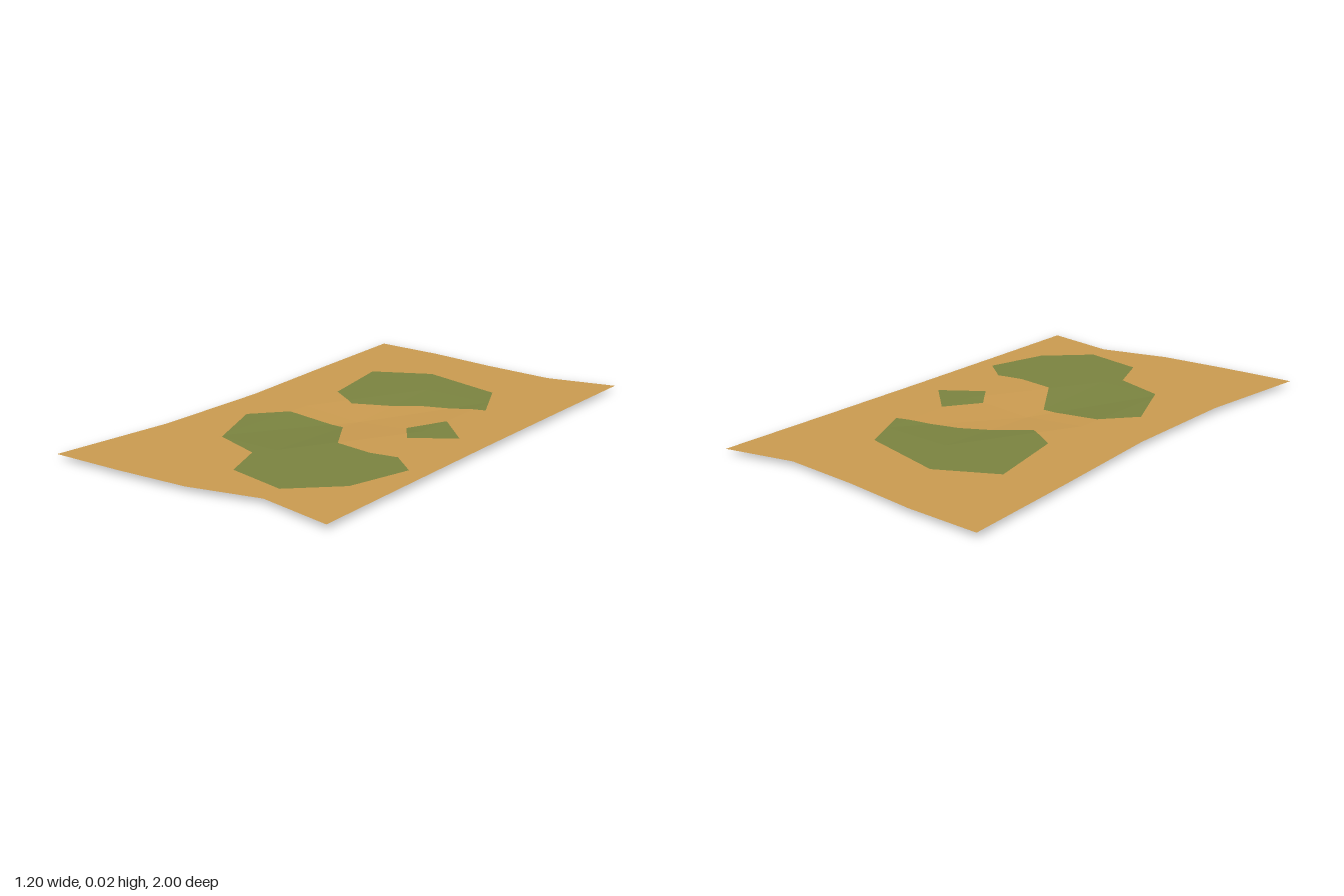
import * as THREE from 'three';

const SAND = new THREE.MeshStandardMaterial({ color: 0xc8994f, side: THREE.DoubleSide, flatShading: true });
SAND.name = 'sandy cloth';
const GREEN = new THREE.MeshStandardMaterial({ color: 0x79823f, side: THREE.DoubleSide, flatShading: true });
GREEN.name = 'olive green';

const REST = 0.021; // height of the flat cloth; only the middle sags to the ground
const LIFT = 0.0012;

// Five rows of [x, z] knots, back to front, with wavy outer edges
const KNOTS = [
  [[-0.6, -1], [-0.3, -0.99], [0, -0.955], [0.31, -0.935], [0.595, -1]],
  [[-0.57, -0.5], [-0.29, -0.5], [0, -0.48], [0.3, -0.47], [0.59, -0.5]],
  [[-0.535, 0], [-0.26, 0], [0, 0], [0.3, 0], [0.587, 0]],
  [[-0.54, 0.5], [-0.28, 0.5], [0, 0.5], [0.29, 0.46], [0.588, 0.5]],
  [[-0.6, 1], [-0.3, 0.99], [0, 0.97], [0.285, 0.9], [0.59, 0.955]],
];

// Outlines of the painted patches as [x, z]
const PATCHES = {
  backPatch: [[-0.35, -0.57], [-0.12, -0.69], [0.24, -0.6], [0.35, -0.37], [0.1, -0.29], [-0.14, -0.14], [-0.28, -0.23]],
  smallPatch: [[0.305, -0.16], [0.46, -0.01], [0.3, 0.1], [0.22, -0.01]],
  frontPatch: [[-0.26, 0.1], [0, 0.1], [0.13, 0.3], [0.29, 0.32], [0.4, 0.3], [0.51, 0.39], [0.44, 0.64],
    [0.27, 0.8], [0.02, 0.75], [-0.05, 0.57], [-0.26, 0.5], [-0.375, 0.23]],
};

// Cloth triangles, wound to face up
function clothTriangles() {
  const p = KNOTS.map((row, r) => row.map(([x, z], c) =>
    new THREE.Vector3(x, r === 2 && c === 2 ? LIFT : REST, z)));
  const tris = [];
  for (let r = 0; r < 4; r++) {
    for (let c = 0; c < 4; c++) {
      tris.push([p[r][c], p[r + 1][c], p[r][c + 1]]);
      tris.push([p[r + 1][c], p[r + 1][c + 1], p[r][c + 1]]);
    }
  }
  return tris;
}

// Part of an outline lying inside one cloth triangle
function clip(outline, tri) {
  let poly = outline.map(([x, z]) => new THREE.Vector2(x, z));
  for (let i = 0; i < 3; i++) {
    const a = tri[i], b = tri[(i + 1) % 3];
    const side = (q) => (b.z - a.z) * (q.x - a.x) - (b.x - a.x) * (q.y - a.z);
    const out = [];
    poly.forEach((q, k) => {
      const n = poly[(k + 1) % poly.length];
      const s = side(q), t = side(n);
      if (s >= 0) out.push(q);
      if (s * t < 0) out.push(q.clone().lerp(n, s / (s - t)));
    });
    poly = out;
  }
  return poly;
}

function meshOf(name, points, material) {
  const geometry = new THREE.BufferGeometry().setFromPoints(points);
  geometry.computeVertexNormals();
  const mesh = new THREE.Mesh(geometry, material);
  mesh.name = name;
  return mesh;
}

// A patch follows the folds of the cloth, just above and just below it
function makePatch(name, outline, tris) {
  const points = [];
  for (const tri of tris) {
    const poly = clip(outline, tri);
    if (poly.length < 3) continue;
    const plane = new THREE.Plane().setFromCoplanarPoints(...tri);
    const n = plane.normal;
    const onCloth = (q, lift) =>
      new THREE.Vector3(q.x, -(plane.constant + n.x * q.x + n.z * q.y) / n.y + lift, q.y);
    for (const face of THREE.ShapeUtils.triangulateShape(poly, [])) {
      let [a, b, c] = face.map((i) => poly[i]);
      const area = (b.x - a.x) * (c.y - a.y) - (b.y - a.y) * (c.x - a.x);
      if (Math.abs(area) < 1e-8) continue;
      if (area > 0) [b, c] = [c, b];
      points.push(...[a, b, c].map((q) => onCloth(q, LIFT)));
      points.push(...[a, c, b].map((q) => onCloth(q, -LIFT)));
    }
  }
  return meshOf(name, points, GREEN);
}

export function createModel() {
  const group = new THREE.Group();
  group.name = 'patchedCloth';
  const tris = clothTriangles();
  group.add(meshOf('cloth', tris.flat(), SAND));
  for (const [name, outline] of Object.entries(PATCHES)) group.add(makePatch(name, outline, tris));
  return group;
}
